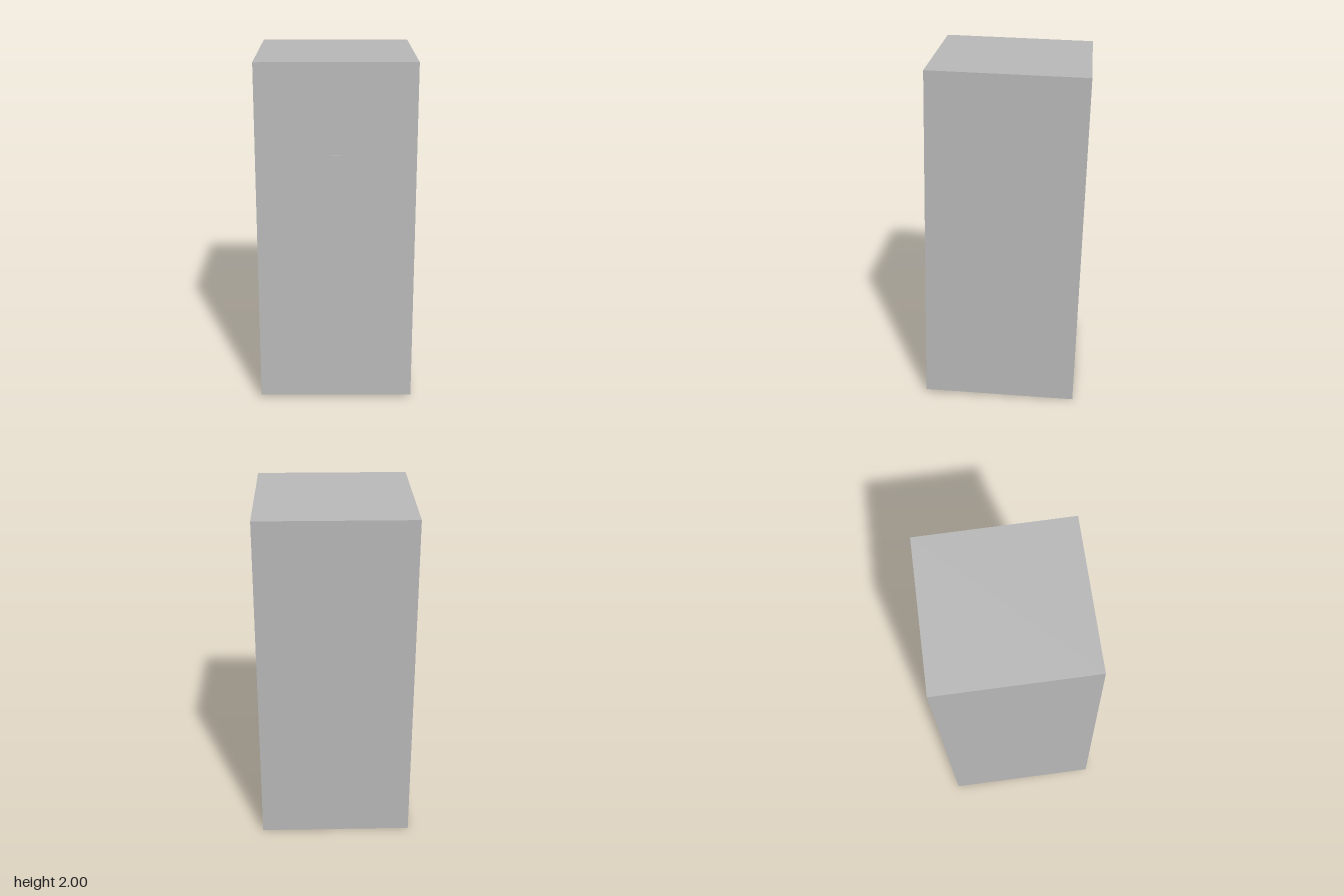
import * as THREE from 'three';

const WIDTH = 0.886, HEIGHT = 1.977, DEPTH = 0.886;
const LEAN = -0.0262; // whole cabinet leans slightly backwards

export function createModel() {
  const model = new THREE.Group();
  model.name = 'leaningCabinet';
  const grey = new THREE.MeshStandardMaterial({ color: 0xbababa });
  grey.name = 'grey';

  const addBox = (parent, name, w, h, d, y, z) => {
    const mesh = new THREE.Mesh(new THREE.BoxGeometry(w, h, d), grey);
    mesh.name = name;
    mesh.position.set(0, y, z);
    parent.add(mesh);
  };

  const cabinet = new THREE.Group();
  cabinet.name = 'cabinet';
  // tall plain body
  addBox(cabinet, 'body', WIDTH, HEIGHT, DEPTH, 0, 0);
  // long vertical strip standing slightly proud of the front
  addBox(cabinet, 'frontStrip', 0.048, 1.32, 0.02, -0.18, DEPTH / 2 - 0.002);

  cabinet.rotation.x = LEAN;
  cabinet.position.y = 1;
  model.add(cabinet);
  return model;
}
